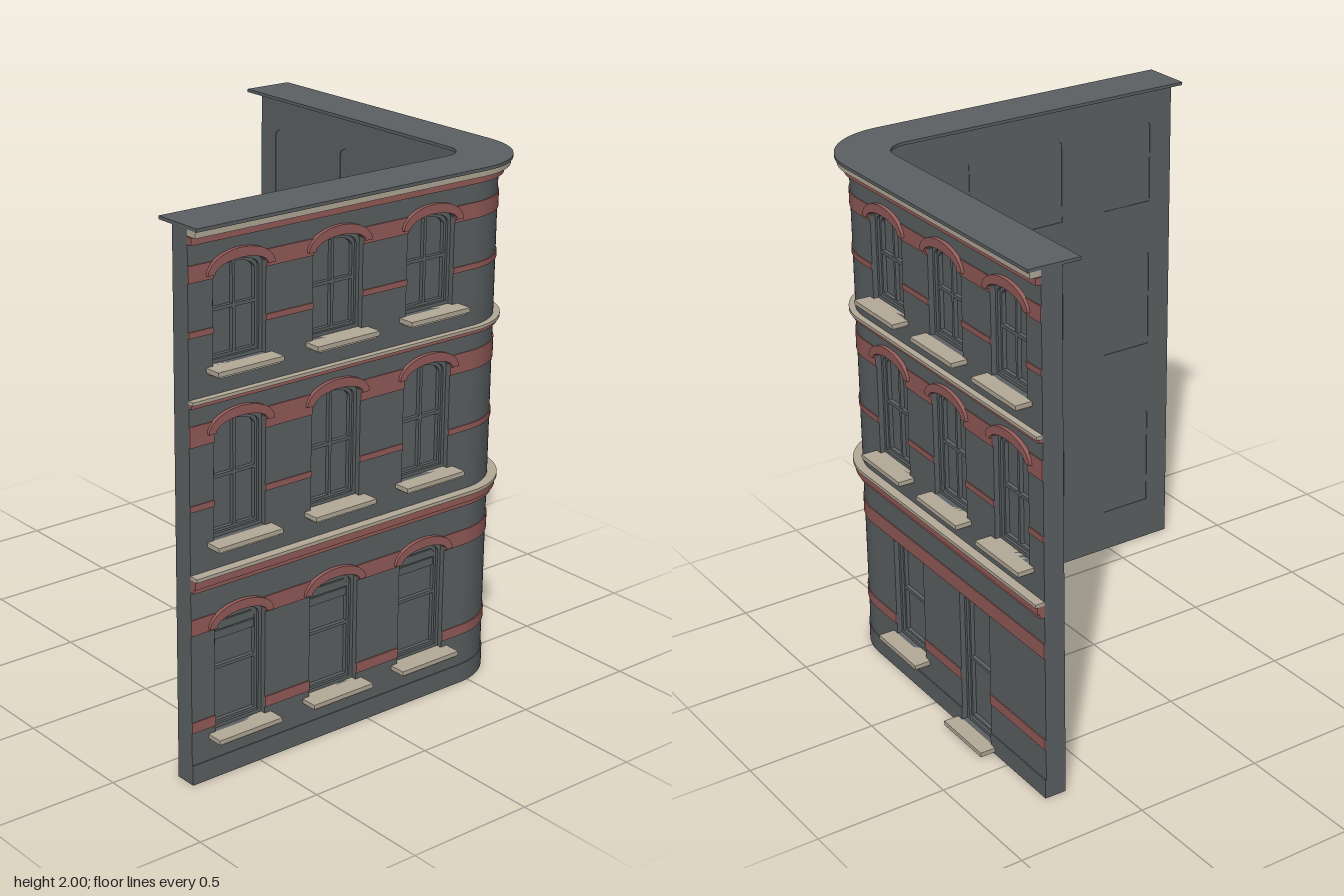
import * as THREE from 'three';
import { toCreasedNormals } from 'three/addons/utils/BufferGeometryUtils.js';

const material = (name, color) => {
  const m = new THREE.MeshStandardMaterial({ color });
  m.name = name;
  return m;
};

// Plan: front wing along x, rounded corner about (CX, CZ), side wing leaning out slightly
const CX = 0.46, CZ = 0.435, R = 0.25, THICK = 0.08, LEAN = 0.017;
const LEFT = -0.795, WING = 1.189, TURN = Math.PI / 2 - LEAN;

export function createModel() {
  const slate = material('slate wall', 0x5c6163);
  const red = material('red brick', 0x945c59);
  const stone = material('pale stone', 0xb4aa99);
  const model = new THREE.Group();

  const add = (parent, name, geometry, mat, x = 0, y = 0, z = 0) => {
    const mesh = new THREE.Mesh(geometry, mat);
    mesh.name = name;
    mesh.position.set(x, y, z);
    parent.add(mesh);
    return mesh;
  };
  // Box given by its extents
  const block = (parent, name, mat, x0, x1, y0, y1, z0, z1) =>
    add(parent, name, new THREE.BoxGeometry(x1 - x0, y1 - y0, z1 - z0), mat,
      (x0 + x1) / 2, (y0 + y1) / 2, (z0 + z1) / 2);

  // Path stations: base point and outward normal
  const corner = [];
  for (let i = 0; i <= 24; i++) {
    const t = (TURN * i) / 24;
    corner.push({ x: CX, z: CZ, nx: Math.sin(t), nz: Math.cos(t) });
  }
  const last = corner[24];
  const whole = [
    { x: LEFT, z: CZ, nx: 0, nz: 1 }, ...corner,
    { ...last, x: CX + Math.sin(LEAN) * WING, z: CZ - Math.cos(LEAN) * WING },
  ];

  // Sweep a rectangular section (offset from wall face, height) along the path
  const sweep = (path, o0, o1, y0, y1) => {
    const section = [[o0, y0], [o1, y0], [o1, y1], [o0, y1]];
    const pos = [];
    const put = (i, k) => {
      const p = path[i], [o, y] = section[k % 4];
      pos.push(p.x + p.nx * (R + o), y, p.z + p.nz * (R + o));
    };
    const quad = (...c) => [0, 1, 2, 0, 2, 3].forEach((n) => put(...c[n]));
    const e = path.length - 1;
    for (let i = 0; i < e; i++)
      for (let k = 0; k < 4; k++) quad([i, k], [i + 1, k], [i + 1, k + 1], [i, k + 1]);
    quad([0, 0], [0, 1], [0, 2], [0, 3]);
    quad([e, 3], [e, 2], [e, 1], [e, 0]);
    const g = new THREE.BufferGeometry();
    g.setAttribute('position', new THREE.Float32BufferAttribute(pos, 3));
    return toCreasedNormals(g, 0.5);
  };

  // Opening outline, with an elliptical head when rise > 0
  const outline = (o, inset = 0) => {
    const h = o.w / 2 - inset, y0 = o.y0 + inset, y1 = o.y1 - inset;
    const s = new THREE.Shape();
    s.moveTo(o.u - h, y0);
    s.lineTo(o.u + h, y0);
    s.lineTo(o.u + h, y1 - o.rise);
    if (o.rise) s.absellipse(o.u, y1 - o.rise, h, o.rise, 0, Math.PI, false);
    else s.lineTo(o.u - h, y1);
    s.closePath();
    return s;
  };
  const extrude = (shape, z0, z1) =>
    new THREE.ExtrudeGeometry(shape, { depth: z1 - z0, bevelEnabled: false, curveSegments: 16 })
      .translate(0, 0, z0);
  const ring = (o, inset, width, z0, z1) => {
    const s = outline(o, inset);
    s.holes.push(outline(o, inset + width));
    return extrude(s, z0, z1);
  };

  // Flat courses that stop at openings
  const courses = [
    ['plinth', slate, 0, 0.075], ['lowCourse', red, 0.2, 0.24], ['groundArchCourse', red, 0.567, 0.626],
    ['middleCourse', red, 1.018, 1.04], ['middleArchCourse', red, 1.246, 1.32],
    ['upperCourse', red, 1.623, 1.644], ['upperArchCourse', red, 1.808, 1.866],
  ];

  const addOpening = (wall, o) => {
    const g = new THREE.Group();
    g.name = o.kind;
    wall.add(g);
    const h = o.w / 2, x0 = o.u - h + 0.012, x1 = o.u + h - 0.012;
    add(g, 'pane', extrude(outline(o), -0.077, -0.045), slate);
    add(g, 'outerFrame', ring(o, 0, 0.013, -0.045, -0.02), slate);
    add(g, 'sash', ring(o, 0.013, 0.01, -0.045, -0.03), slate);
    block(g, 'meetingRail', slate, x0, x1, o.mid - 0.006, o.mid + 0.006, -0.045, -0.03);
    if (o.mullion) block(g, 'mullion', slate, o.u - 0.006, o.u + 0.006, o.y0 + 0.015, o.y1 - 0.015, -0.045, -0.03);
    if (o.blind) {
      // Slatted blind behind the head of the window
      for (let i = 0; i < 3; i++) {
        const y = 0.505 + i * 0.036;
        block(g, 'blindSlat', slate, x0 + 0.008, x1 - 0.008, y, y + 0.03, -0.045, -0.034 + i * 0.003);
      }
    }
    // Sill in two steps
    const sw = o.w / 2 + 0.028;
    block(g, 'sill', stone, o.u - sw, o.u + sw, o.y0 - 0.017, o.y0, -0.02, 0.064);
    block(g, 'sillUnderside', stone, o.u - sw + 0.01, o.u + sw - 0.01, o.y0 - 0.025, o.y0 - 0.017, -0.02, 0.056);
    if (o.rise) {
      // Arched brick hood
      const spring = o.y1 - o.rise, s = new THREE.Shape();
      s.moveTo(o.u + h, spring);
      s.lineTo(o.u + 0.138, spring);
      s.absellipse(o.u, spring, 0.138, o.rise + 0.034, 0, Math.PI, false);
      s.lineTo(o.u - h, spring);
      s.absellipse(o.u, spring, h, o.rise, Math.PI, 0, true);
      add(g, 'archHood', extrude(s, 0, 0.015), red);
    }
  };

  // Straight facade in its own frame: u along the wall, z outward
  const facade = (name, u0, u1, openings) => {
    const wall = new THREE.Group();
    wall.name = name;
    model.add(wall);
    const s = new THREE.Shape();
    s.moveTo(u0, 0);
    s.lineTo(u1, 0);
    s.lineTo(u1, 1.99);
    s.lineTo(u0, 1.99);
    s.closePath();
    openings.forEach((o) => s.holes.push(outline(o)));
    add(wall, 'wall', extrude(s, -THICK, 0), slate);
    openings.forEach((o) => addOpening(wall, o));
    for (const [label, mat, y0, y1] of courses) {
      let from = u0;
      const cuts = openings.filter((o) => o.y0 < y1 && o.y1 > y0).sort((a, b) => a.u - b.u);
      for (const o of [...cuts, { u: u1, w: 0 }]) {
        block(wall, label, mat, from, o.u - o.w / 2, y0, y1, 0, 0.004);
        from = o.u + o.w / 2;
      }
    }
    return wall;
  };

  const arched = (u, y0, y1, mid, extra) =>
    ({ kind: 'archedWindow', u, w: 0.218, y0, y1, mid, rise: 0.04, ...extra });
  const upperFloors = (us) => us.flatMap((u) => [
    arched(u, 0.893, 1.32, 1.105, { mullion: true }),
    arched(u, 1.51, 1.862, 1.69, { mullion: true }),
  ]);

  // Front wing
  const frontUs = [-0.586, -0.167, 0.252];
  const front = facade('frontWing', LEFT, CX, [
    ...upperFloors(frontUs),
    ...frontUs.map((u) => arched(u, 0.175, 0.615, 0.4, { blind: true })),
  ]);
  front.position.set(0, 0, CZ + R);

  // Side wing with a plain window and a door
  const side = facade('sideWing', 0, WING, [
    ...upperFloors([0.19, 0.587, 0.99]),
    { kind: 'plainWindow', u: 0.261, w: 0.215, y0: 0.157, y1: 0.562, mid: 0.36, rise: 0 },
    { kind: 'door', u: 0.727, w: 0.2, y0: 0.026, y1: 0.562, mid: 0.29, rise: 0 },
  ]);
  side.position.set(CX + last.nx * R, 0, CZ + last.nz * R);
  side.rotation.y = TURN;

  // Rounded corner
  add(model, 'cornerWall', sweep(corner, -THICK, 0, 0, 1.99), slate);
  for (const [label, mat, y0, y1] of courses)
    add(model, label, sweep(corner, 0, 0.004, y0, y1), mat);

  // String courses, cornice and cap running round the whole building
  const mouldings = [
    ['lowerStringBase', red, 0, 0.018, 0.73, 0.748], ['lowerStringBrick', red, 0, 0.028, 0.748, 0.777],
    ['lowerStringStone', stone, 0, 0.036, 0.777, 0.79],
    ['upperStringBrick', red, 0, 0.015, 1.385, 1.4], ['upperStringStone', stone, 0, 0.024, 1.4, 1.412],
    ['corniceBrick', red, 0, 0.02, 1.938, 1.963], ['corniceStone', stone, 0, 0.042, 1.966, 1.988],
    ['cap', slate, -0.152, 0.05, 1.988, 2],
  ];
  for (const [label, mat, o0, o1, y0, y1] of mouldings)
    add(model, label, sweep(whole, o0, o1, y0, y1), mat);

  return model;
}
